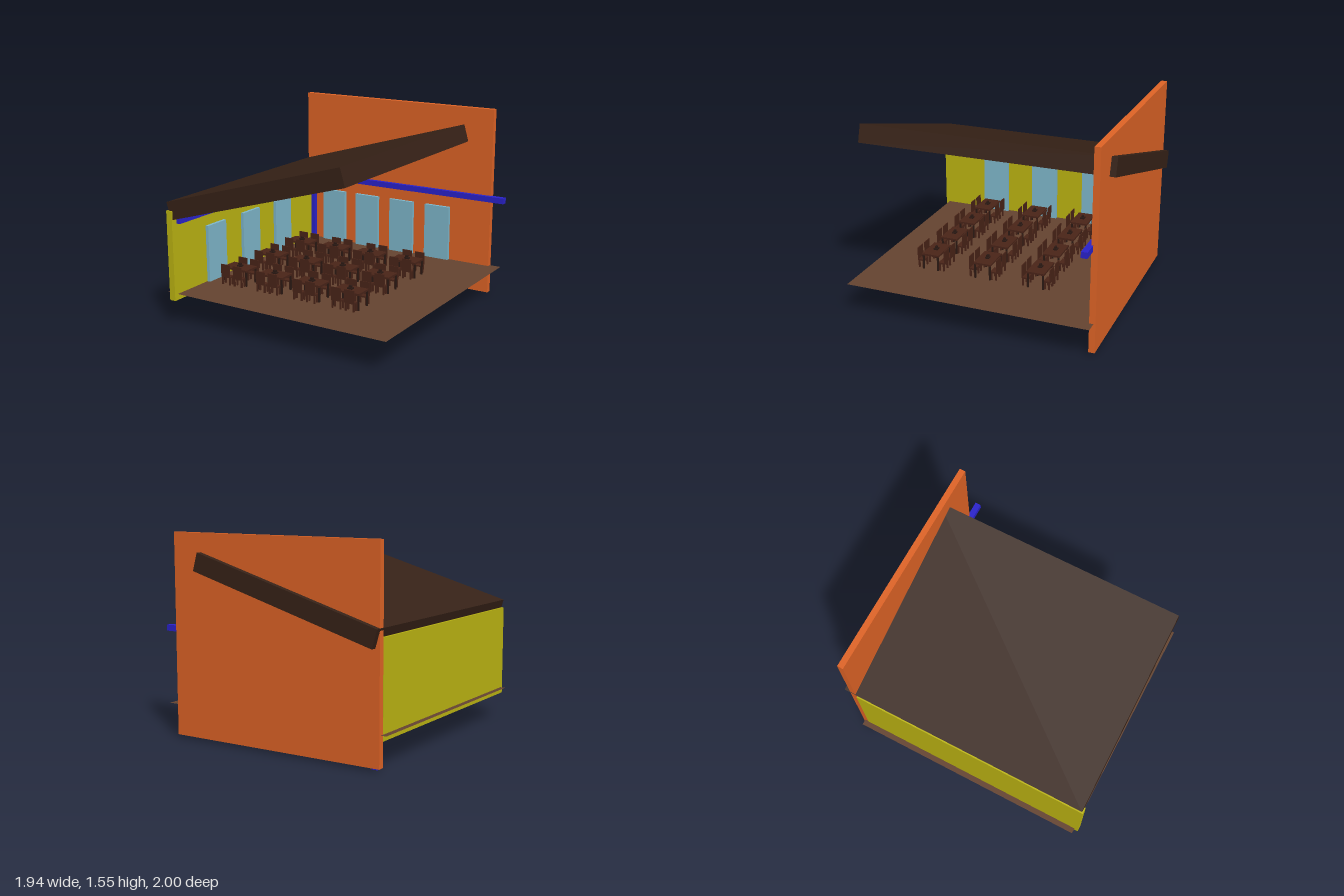
import * as THREE from 'three';

const mat = (color, side = THREE.FrontSide) =>
  new THREE.MeshStandardMaterial({ color, side, flatShading: true });

const M = {
  orange: mat(0xe06426), yellow: mat(0xbdb512), blue: mat(0x2a22cc), glass: mat(0x7fb8cc),
  roof: mat(0x372217), floor: mat(0x654430, THREE.DoubleSide),
  wood: mat(0x4a2418), dark: mat(0x2c1a14),
};

// Box given by its minimum and maximum along each axis
function block(name, material, [x0, x1], [y0, y1], [z0, z1]) {
  const mesh = new THREE.Mesh(new THREE.BoxGeometry(x1 - x0, y1 - y0, z1 - z0), material);
  mesh.position.set((x0 + x1) / 2, (y0 + y1) / 2, (z0 + z1) / 2);
  mesh.name = name;
  return mesh;
}

// Chair with its back towards +z
function createChair() {
  const chair = new THREE.Group();
  chair.name = 'chair';
  chair.add(block('chairSeat', M.wood, [-0.041, 0.041], [0.308, 0.32], [-0.026, 0.02]));
  chair.add(block('chairBack', M.wood, [-0.041, 0.041], [0.312, 0.415], [0.02, 0.027]));
  for (const x of [-0.034, 0.034]) for (const z of [-0.018, 0.016])
    chair.add(block('chairLeg', M.wood, [x - 0.006, x + 0.006], [0.243, 0.31], [z - 0.006, z + 0.006]));
  return chair;
}

// Table with two chairs on either side
function createDiningSet() {
  const set = new THREE.Group();
  set.name = 'diningSet';
  set.add(block('tableTop', M.wood, [-0.112, 0.112], [0.366, 0.381], [-0.07, 0.07]));
  for (const sx of [-1, 1]) for (const sz of [-1, 1]) {
    const x = sx * 0.104, z = sz * 0.06;
    set.add(block('tableLeg', M.dark, [x - 0.006, x + 0.006], [0.243, 0.367], [z - 0.006, z + 0.006]));
    const chair = createChair();
    chair.position.set(sx * 0.057, 0, sz * 0.088);
    if (sz < 0) chair.rotation.y = Math.PI;
    set.add(chair);
  }
  // Small holder in the middle of the table
  set.add(block('tableHolder', M.dark, [-0.02, 0.02], [0.381, 0.392], [-0.016, 0.016]));
  set.add(block('tableHolderTop', M.dark, [-0.012, 0.012], [0.392, 0.408], [-0.008, 0.008]));
  return set;
}

export function createModel() {
  const model = new THREE.Group();
  model.name = 'diningPavilion';

  // Floor sheet
  const floor = new THREE.Mesh(new THREE.PlaneGeometry(1.91, 1.91), M.floor);
  floor.name = 'floor';
  floor.rotation.x = -Math.PI / 2;
  floor.position.set(-0.015, 0.25, 0.015);
  model.add(floor);

  // Walls
  model.add(block('backWall', M.orange, [-0.925, 0.845], [0.02, 1.55], [-0.955, -0.908]));
  model.add(block('sideWall', M.yellow, [-0.927, -0.876], [0.202, 0.905], [-0.91, 1]));

  // Sloping roof slab
  const roof = new THREE.Mesh(new THREE.BoxGeometry(1.582, 0.141, 1.99), M.roof);
  roof.name = 'roof';
  roof.position.set(-0.15, 1.121, -0.005);
  roof.rotation.z = Math.atan2(0.44, 1.52);
  model.add(roof);

  // Corner post and the two beams
  model.add(block('cornerPost', M.blue, [-0.888, -0.842], [0, 0.845], [-0.916, -0.872]));
  model.add(block('backBeam', M.blue, [-0.88, 0.97], [0.8, 0.846], [-0.921, -0.874]));
  model.add(block('sideBeam', M.blue, [-0.889, -0.843], [0.801, 0.845], [-0.915, 0.95]));

  // Window panels on the back wall and the side wall
  const columns = [-0.641, -0.307, 0.033, 0.373];
  for (const x of columns)
    model.add(block('backWindow', M.glass, [x - 0.112, x + 0.112], [0.245, 0.705], [-0.912, -0.88]));
  for (const z of [0.502, 0.053, -0.4])
    model.add(block('sideWindow', M.glass, [-0.88, -0.85], [0.245, 0.705], [z - 0.112, z + 0.112]));

  // Rows of tables and chairs
  for (const x of columns) for (const z of [0.495, 0.06, -0.37]) {
    const set = createDiningSet();
    set.position.set(x, 0, z);
    model.add(set);
  }
  return model;
}
